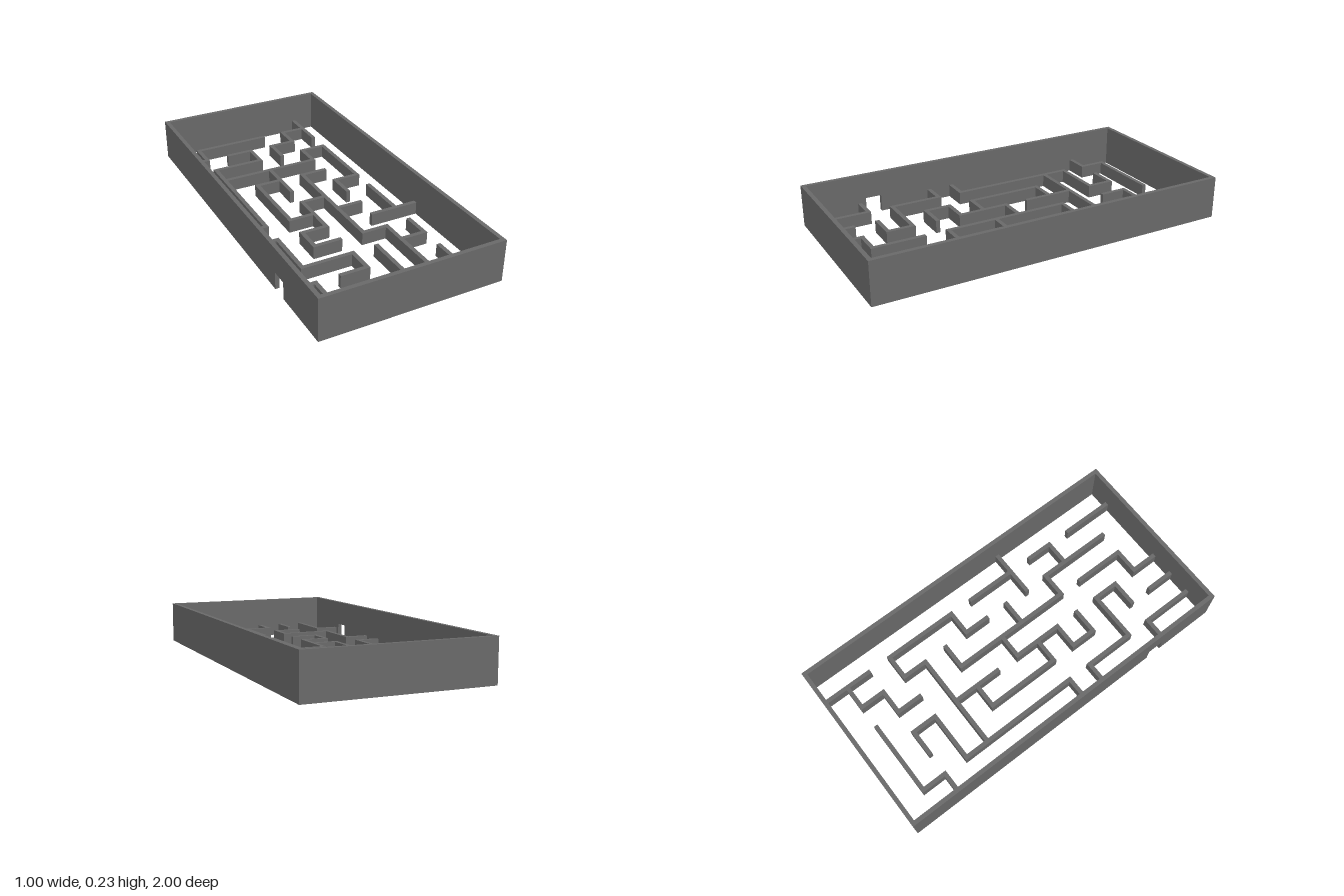
import * as THREE from 'three';

const T = 0.023;        // wall thickness
const OUTER_H = 0.233;  // rim height
const INNER_H = 0.07;   // partition height
const DOOR_H = 0.095;   // doorway height
const DOOR = [0.56, 0.65];

// Grid lines of the maze; the outermost lie inside the rim
const EDGE = 0.988;
const colX = c => THREE.MathUtils.clamp((c - 3.5) * 0.14, EDGE - 1.475, 1.475 - EDGE);
const rowZ = r => (r === 14 ? EDGE : -EDGE + 0.1395 * r);

// Partitions along x: [row, from column, to column]
const across = [
  [1, 1, 4], [1, 5, 6], [2, 0, 1], [2, 2, 3], [2, 4, 5], [3, 1, 3], [3, 5, 6],
  [4, 1, 5], [5, 2, 3], [5, 4, 5], [6, 5, 6], [7, 3, 4], [8, 0, 1], [8, 2, 3],
  [8, 4, 5], [9, 0, 1], [9, 2, 3], [9, 5, 7], [10, 2, 3], [10, 4, 5], [11, 1, 3],
  [11, 5, 6], [12, 0, 1], [12, 2, 3], [13, 3, 4],
];

// Partitions along z: [column, from row, to row]
const along = [
  [1, 1, 2], [1, 3, 8], [1, 9, 11], [1, 12, 14], [2, 5, 8], [2, 9, 10], [2, 13, 14],
  [3, 2, 3], [3, 4, 6], [3, 7, 9], [3, 11, 12], [3, 13, 14], [4, 2, 3], [4, 5, 10],
  [4, 11, 13], [5, 1, 2], [5, 3, 4], [5, 6, 7], [5, 10, 13], [6, 0, 2], [6, 3, 6],
  [6, 7, 9], [6, 10, 11], [6, 12, 14],
];

export function createModel() {
  const model = new THREE.Group();
  model.name = 'maze';
  const material = new THREE.MeshStandardMaterial({ color: 0x696969 });

  const add = (parent, name, geometry) => {
    const mesh = new THREE.Mesh(geometry, material);
    mesh.name = name;
    parent.add(mesh);
    return mesh;
  };
  const box = (parent, name, x0, x1, z0, z1, h) =>
    add(parent, name, new THREE.BoxGeometry(x1 - x0, h, z1 - z0))
      .position.set((x0 + x1) / 2, h / 2, (z0 + z1) / 2);

  // Tall outer rim
  const rim = new THREE.Group();
  rim.name = 'outerRim';
  model.add(rim);
  box(rim, 'frontWall', -0.5, 0.5, 1 - T, 1, OUTER_H);
  box(rim, 'backWall', -0.5, 0.5, -1, -1 + T, OUTER_H);
  box(rim, 'leftWall', 0.5 - T, 0.5, -1 + T, 1 - T, OUTER_H);

  // Right wall with the doorway cut from its lower edge
  const outline = new THREE.Shape([
    [-1 + T, 0], [-DOOR[1], 0], [-DOOR[1], DOOR_H], [-DOOR[0], DOOR_H],
    [-DOOR[0], 0], [1 - T, 0], [1 - T, OUTER_H], [-1 + T, OUTER_H],
  ].map(([u, v]) => new THREE.Vector2(u, v)));
  const doorWall = add(rim, 'rightWallWithDoorway',
    new THREE.ExtrudeGeometry(outline, { depth: T, bevelEnabled: false }));
  doorWall.rotation.y = Math.PI / 2;
  doorWall.position.x = -0.5;

  // Low inner partitions, overlapping by half a thickness at the corners
  const inner = new THREE.Group();
  inner.name = 'innerPartitions';
  model.add(inner);
  const e = T / 2;
  for (const [r, a, b] of across)
    box(inner, 'crossPartition', colX(a) - e, colX(b) + e, rowZ(r) - e, rowZ(r) + e, INNER_H);
  for (const [c, a, b] of along)
    box(inner, 'longPartition', colX(c) - e, colX(c) + e, rowZ(a) - e, rowZ(b) + e, INNER_H);

  return model;
}
